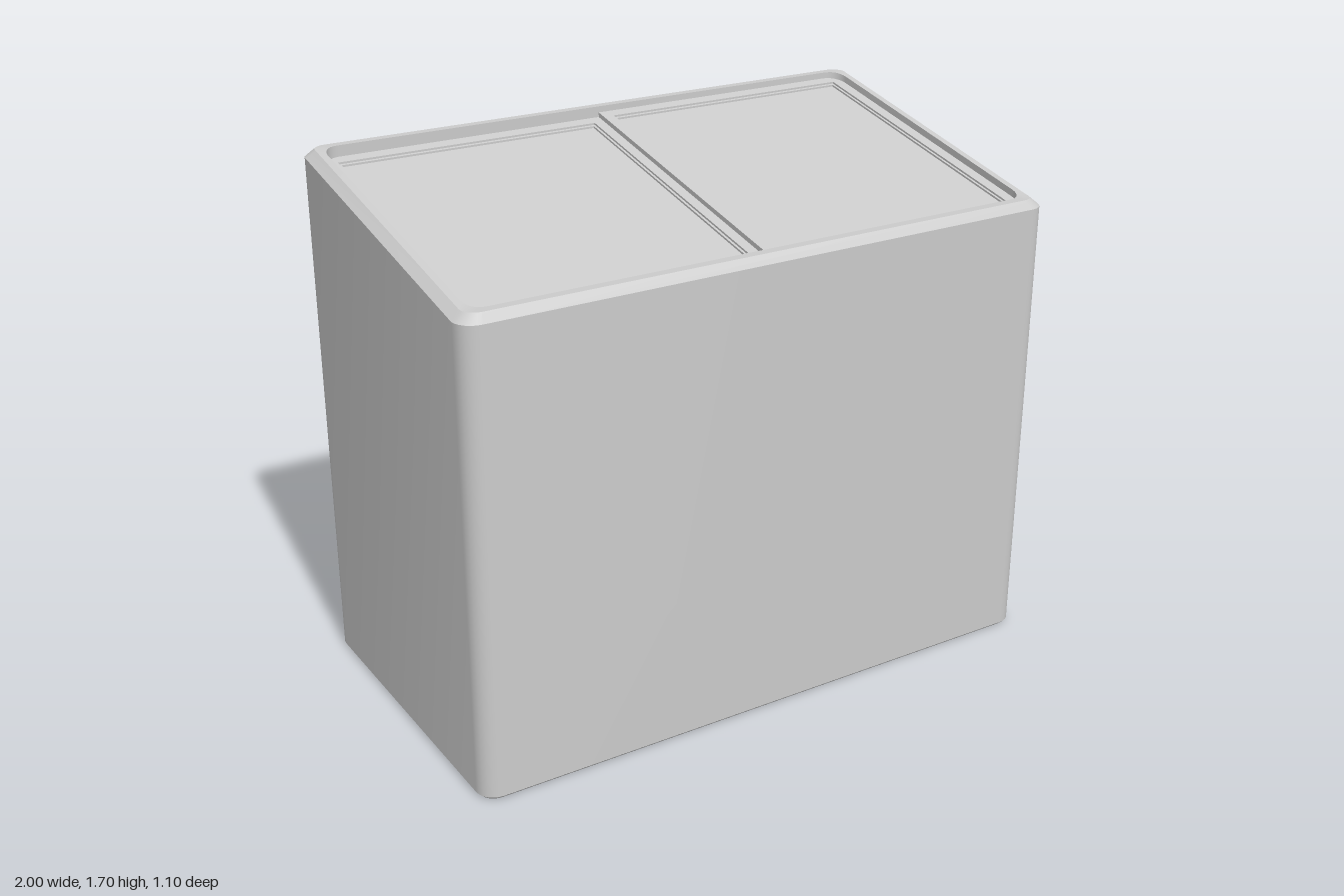
import * as THREE from 'three';
import { toCreasedNormals } from 'three/addons/utils/BufferGeometryUtils.js';

const KNEE = 0.485, MID = 1.595, RISE = 0.1;
// Height of the rim: slopes up to the back, level along the front and back edges
const slope = (z) => MID - (z / KNEE) * RISE;
const rimHeight = (z) => slope(THREE.MathUtils.clamp(z, -KNEE, KNEE));

// Rounded rectangle outline in plan, as [x, z] pairs
function outline(hx, hz, r, steps = 6) {
  const points = [];
  [[1, 1], [-1, 1], [-1, -1], [1, -1]].forEach(([sx, sz], corner) => {
    for (let i = 0; i <= steps; i++) {
      const a = (corner + i / steps) * Math.PI / 2;
      points.push([sx * (hx - r) + r * Math.cos(a), sz * (hz - r) + r * Math.sin(a)]);
    }
  });
  return points;
}

// Cabinet shell: rings from the underside, up the walls, over the rim and down inside
function cabinetGeometry() {
  const rings = [
    { hx: 0.99, hz: 0.54, r: 0.05, y: () => 0 },
    { hx: 1, hz: 0.55, r: 0.06, y: () => 0.01 },
    { hx: 1, hz: 0.55, r: 0.06, y: (z) => rimHeight(z) - 0.025 },
    { hx: 0.972, hz: 0.525, r: 0.045, y: rimHeight },
    { hx: 0.95, hz: 0.495, r: 0.055, y: rimHeight },
    { hx: 0.95, hz: 0.495, r: 0.055, y: (z) => rimHeight(z) - 0.07 },
  ];
  const position = [], index = [];
  let n = 0;
  rings.forEach(({ hx, hz, r, y }) => {
    const points = outline(hx, hz, r);
    n = points.length;
    points.forEach(([x, z]) => position.push(x, y(z), z));
  });
  for (let j = 0; j < rings.length - 1; j++) {
    for (let i = 0; i < n; i++) {
      const a = j * n + i, b = j * n + (i + 1) % n;
      index.push(a, a + n, b, b, a + n, b + n);
    }
  }
  for (let i = 1; i < n - 1; i++) index.push(0, i, i + 1); // underside
  const geometry = new THREE.BufferGeometry();
  geometry.setAttribute('position', new THREE.Float32BufferAttribute(position, 3));
  geometry.setIndex(index);
  return toCreasedNormals(geometry, 0.5);
}

const rectangle = (Type, [x0, x1, z0, z1]) => new Type([
  new THREE.Vector2(x0, -z0), new THREE.Vector2(x0, -z1),
  new THREE.Vector2(x1, -z1), new THREE.Vector2(x1, -z0),
]);

// Plate lying parallel to the sloped top, its upper face `drop` below the rim
function slopedPlate(outer, hole, drop, depth) {
  const shape = rectangle(THREE.Shape, outer);
  if (hole) shape.holes.push(rectangle(THREE.Path, hole));
  const geometry = new THREE.ExtrudeGeometry(shape, { depth, bevelEnabled: false });
  geometry.rotateX(-Math.PI / 2);
  const p = geometry.attributes.position;
  for (let i = 0; i < p.count; i++) {
    p.setY(i, p.getY(i) - depth - drop + slope(p.getZ(i)));
  }
  geometry.computeVertexNormals();
  return geometry;
}

export function createModel() {
  const model = new THREE.Group();
  model.name = 'chestFreezer';
  const grey = new THREE.MeshStandardMaterial({ color: 0xcccccc });
  const add = (parent, name, geometry) => {
    const mesh = new THREE.Mesh(geometry, grey);
    mesh.name = name;
    parent.add(mesh);
  };

  add(model, 'cabinet', cabinetGeometry());

  // Two sliding lids, the left one running above the right one
  [['leftLid', 1, 0.022], ['rightLid', -1, 0.037]].forEach(([name, side, drop]) => {
    const lid = new THREE.Group();
    lid.name = name;
    const span = (a, b, z) => (side > 0 ? [a, b, -z, z] : [-b, -a, -z, z]);
    const opening = span(0.035, 0.912, 0.46);
    const pane = span(0.043, 0.904, 0.452);
    add(lid, 'lidFrame', slopedPlate(span(0, 0.955, 0.5), opening, drop, 0.04));
    add(lid, 'lidSeal', slopedPlate(opening, pane, drop + 0.006, 0.03));
    add(lid, 'lidPane', slopedPlate(pane, null, drop + 0.012, 0.02));
    model.add(lid);
  });
  return model;
}
